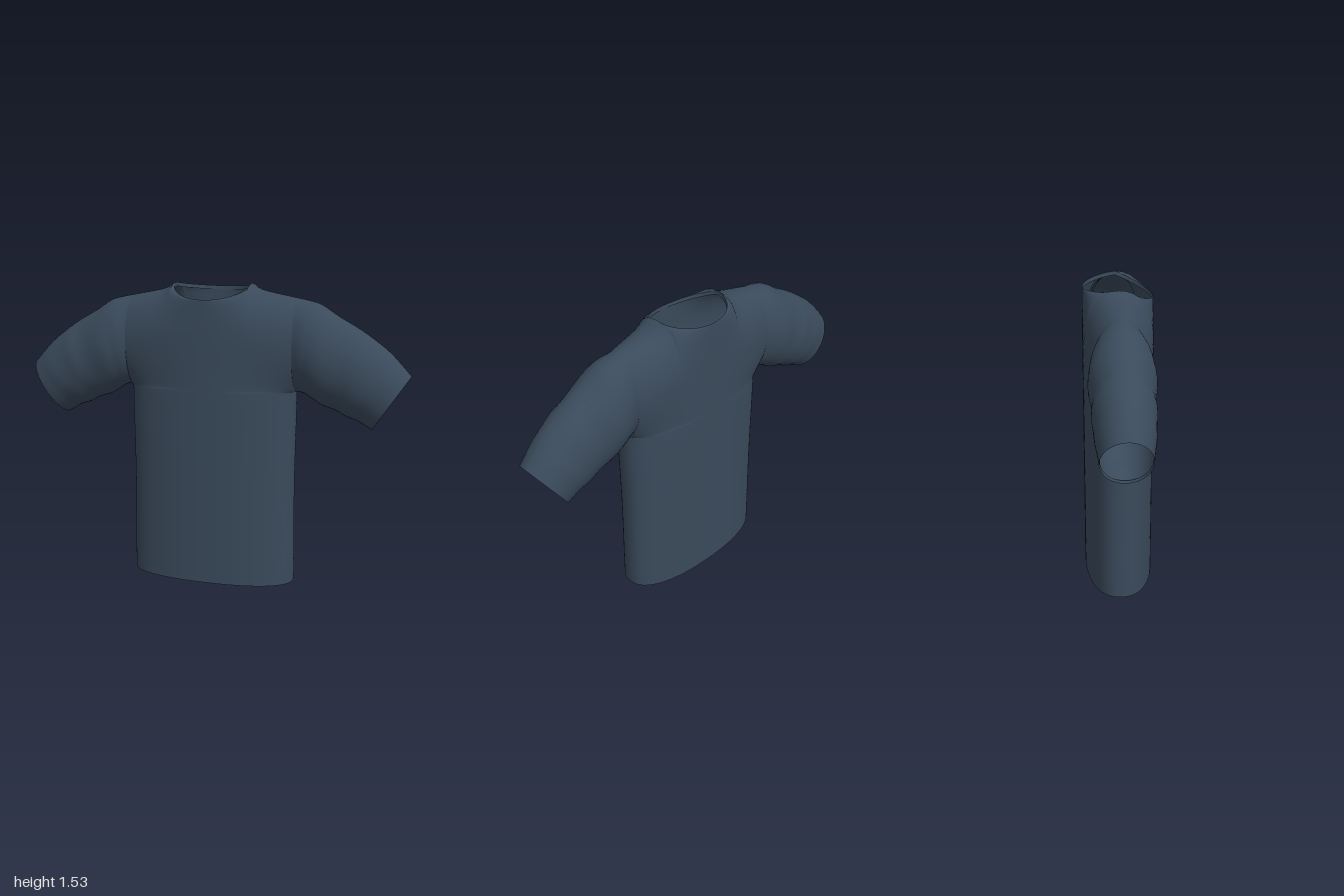
import * as THREE from 'three';
import { mergeGeometries, mergeVertices } from 'three/addons/utils/BufferGeometryUtils.js';

const HALF_W = 0.435, NECK_W = 0.2, PIT = 1.0, SHOULDER = 1.463, ARM_Z = 0.13;
const LOW = 16, UP = 20, NECK_COLS = 12, SIDE_COLS = 14;

// Surface through a grid of points: point(i, j) gives [x, y, z]
function grid(ni, nj, point, flip = false) {
  const pos = [], idx = [];
  for (let i = 0; i <= ni; i++) for (let j = 0; j <= nj; j++) pos.push(...point(i, j));
  for (let i = 0; i < ni; i++) for (let j = 0; j < nj; j++) {
    const a = i * (nj + 1) + j, b = a + nj + 1;
    if (flip) idx.push(a, b + 1, b, a, a + 1, b + 1);
    else idx.push(a, b, b + 1, a, b + 1, a + 1);
  }
  const g = new THREE.BufferGeometry();
  g.setAttribute('position', new THREE.Float32BufferAttribute(pos, 3));
  g.setIndex(idx);
  return g;
}

// Column positions across the chest, denser at the neck corners and the sides
function columns() {
  const half = [];
  for (let k = 0; k < NECK_COLS; k++) half.push(NECK_W * Math.sin(k / NECK_COLS * Math.PI / 2));
  for (let k = 0; k <= SIDE_COLS; k++) {
    half.push(NECK_W + (HALF_W - NECK_W) * Math.sin(k / SIDE_COLS * Math.PI / 2));
  }
  return [...half.slice(1).reverse().map(x => -x), ...half];
}

const neckArc = x => Math.sqrt(Math.max(0, 1 - (x / NECK_W) ** 2));

// Upper edge: neckline in the middle, shoulder ridge outside it
function topEdge(x, drop) {
  if (x <= NECK_W) return 1.53 - drop * neckArc(x);
  const u = 1 - (x - NECK_W) / (HALF_W - NECK_W);
  return SHOULDER + 0.045 * u + 0.022 * u ** 8;
}

// Front (side = 1) or back (side = -1) panel, from the hem to the ridge
function panel(side, depth, drop) {
  const xs = columns();
  return grid(xs.length - 1, LOW + UP, (i, j) => {
    const x = xs[i], ax = Math.abs(x), s = Math.min(1, ax / HALF_W);
    const oval = Math.pow(Math.max(0, 1 - s ** 2.3), 1 / 2.3);
    if (j <= LOW) {
      const y = PIT * j / LOW;
      const waist = 1 - 0.012 * Math.sin(Math.PI * y) ** 2;
      return [x * waist, y, side * depth * oval];
    }
    const phi = Math.PI * (j - LOW) / UP, sn = Math.sin(phi);
    const y = PIT + (topEdge(ax, drop) - PIT) * (1 - Math.cos(phi)) / 2;
    if (phi <= Math.PI / 2) {
      const a = ARM_Z * sn, e = THREE.MathUtils.lerp(oval, 1 - s * s, sn);
      return [x, y, side * (a + (depth - a) * e)];
    }
    const rim = (depth - 0.003) * neckArc(ax);
    const body = ARM_Z + (depth - ARM_Z) * (1 - s * s);
    const fall = j === LOW + UP ? 0 : Math.pow(sn, 0.65 + 0.35 * s);
    return [x, y, side * (rim + (body - rim) * fall)];
  }, side < 0);
}

// Sleeve stations: top x, y, bottom x, y, half depth
const STATIONS = [
  [0.435, 1.463, 0.435, 1.0, 0.13], [0.50, 1.45, 0.47, 0.995, 0.148],
  [0.55, 1.435, 0.51, 0.975, 0.155], [0.64, 1.378, 0.57, 0.937, 0.152],
  [0.73, 1.328, 0.64, 0.915, 0.143], [0.80, 1.283, 0.69, 0.888, 0.145],
  [0.89, 1.215, 0.745, 0.87, 0.135], [0.95, 1.155, 0.785, 0.848, 0.127],
  [1.0, 1.10, 0.82, 0.828, 0.118],
];
const tops = new THREE.CatmullRomCurve3(STATIONS.map(s => new THREE.Vector3(s[0], s[1], s[4])));
const bottoms = new THREE.CatmullRomCurve3(STATIONS.map(s => new THREE.Vector3(s[2], s[3], 0)));

function sleevePoint(t, phi, side, shrink = 1) {
  const a = tops.getPoint(t), b = bottoms.getPoint(t), c = Math.cos(phi) * shrink;
  const mix = (p, q) => (p + q) / 2 - c * (p - q) / 2;
  // soft cloth folds that fade out at the armhole and the cuff
  const fold = 1 + 0.02 * Math.sin(t * 26 + 2 * Math.cos(phi)) * Math.sin(Math.PI * t);
  return [side * mix(a.x, b.x), mix(a.y, b.y), a.z * Math.sin(phi) * shrink * fold];
}

function sleeve(side) {
  return grid(32, UP * 2, (i, j) => sleevePoint(i / 32, Math.PI * j / UP, side), side < 0);
}

export function createModel() {
  const group = new THREE.Group();
  const cloth = new THREE.MeshStandardMaterial({ color: 0x3a4a5b, side: THREE.DoubleSide });
  cloth.name = 'slate blue cloth';
  const add = (name, geometry) => {
    const g = mergeVertices(geometry, 1e-4);
    g.computeVertexNormals();
    const mesh = new THREE.Mesh(g, cloth);
    mesh.name = name;
    group.add(mesh);
  };

  // Body and sleeves are joined so the shading runs across the armholes
  add('shirt', mergeGeometries([
    panel(1, 0.179, 0.075), panel(-1, 0.173, 0.025), sleeve(1), sleeve(-1),
  ]));

  // Narrow folds turned inside at the hem, cuffs and neckline
  const N = 64;
  add('hemFold', grid(1, N, (i, j) => {
    const a = j / N * Math.PI * 2, k = 1 - 0.015 * i, e = 2 / 2.3;
    const c = Math.cos(a), s = Math.sin(a);
    return [HALF_W * k * Math.sign(c) * Math.abs(c) ** e, 0.025 * i,
      (s > 0 ? 0.179 : 0.173) * k * Math.sign(s) * Math.abs(s) ** e];
  }));
  for (const side of [1, -1]) {
    add(side > 0 ? 'leftCuffFold' : 'rightCuffFold', grid(1, N,
      (i, j) => sleevePoint(1 - 0.035 * i, j / N * Math.PI * 2, side, 1 - 0.05 * i)));
  }
  add('neckFold', grid(1, N, (i, j) => {
    const a = j / N * Math.PI * 2, s = Math.sin(a), k = 1 - 0.01 * i;
    return [NECK_W * Math.cos(a) * k, 1.53 - (s > 0 ? 0.075 : 0.025) * Math.abs(s) - 0.02 * i,
      (s > 0 ? 0.176 : 0.17) * s * k];
  }));
  return group;
}
